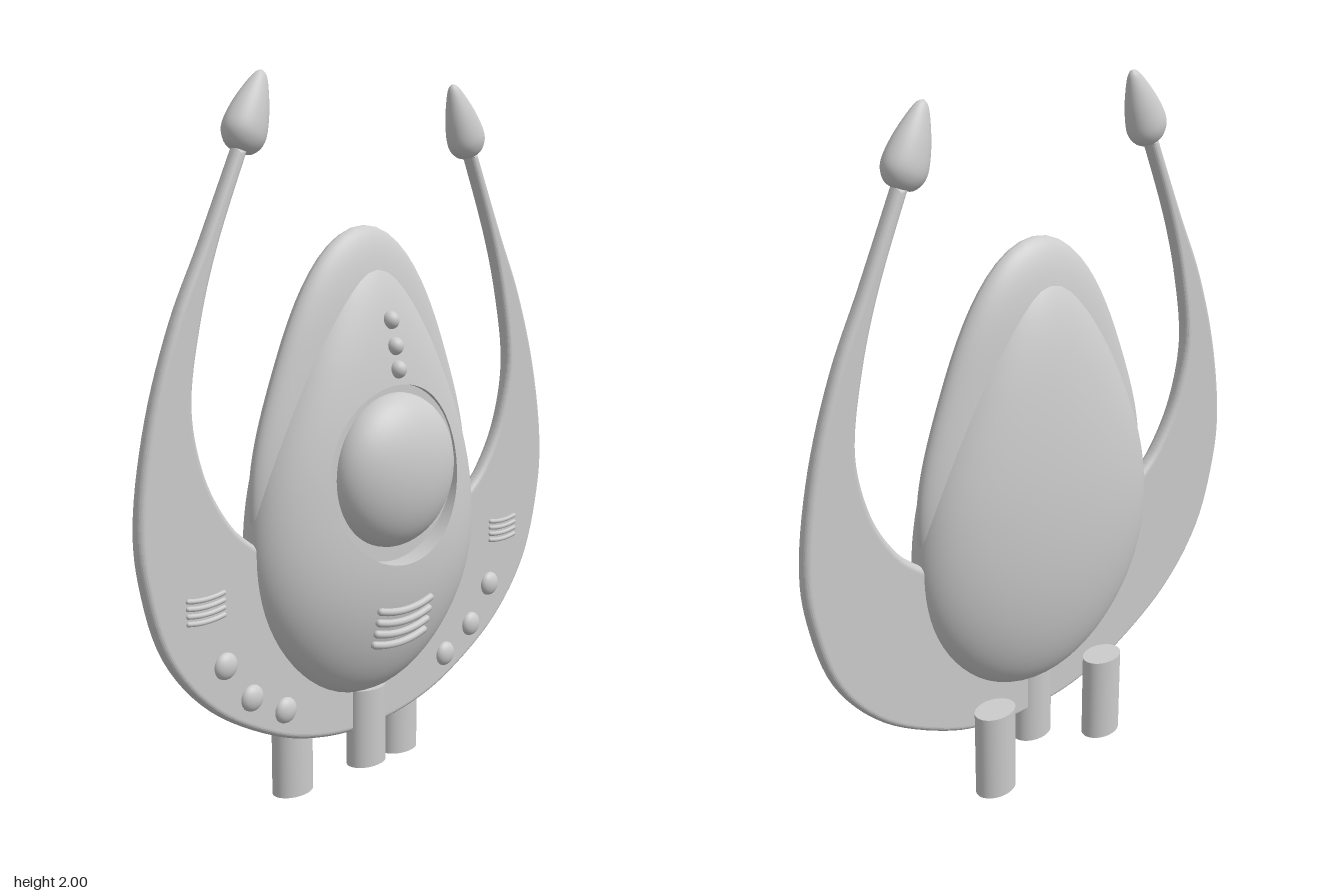
import * as THREE from 'three';

const MID = -0.022;                 // z of the plane the two halves meet on
const HUB = 0.93, SOCKET = 0.25, FLOOR = 0.095;
const SEG = 96;

const mat = new THREE.MeshStandardMaterial({ color: 0xcccccc });
const thinMat = new THREE.MeshStandardMaterial({ color: 0xcccccc, side: THREE.DoubleSide });

// Smooth function over 0..1 through evenly spaced values
const smooth = (values) => {
  const curve = new THREE.SplineCurve(values.map((v) => new THREE.Vector2(v, 0)));
  return (s) => curve.getPoint(s).x;
};

// Egg: round-ended profile multiplied by a slowly changing factor
function egg(y0, y1, width, front, back) {
  const fns = { width: smooth(width), front: smooth(front), back: smooth(back) };
  const at = (name, y) => {
    const s = (y - y0) / (y1 - y0);
    return s <= 0 || s >= 1 ? 0 : 2 * Math.sqrt(s * (1 - s)) * fns[name](s);
  };
  const z = (x, y, side = 'front') => {
    const w = at('width', y);
    const bulge = w > 0 ? at(side, y) * Math.sqrt(Math.max(0, 1 - (x / w) ** 2)) : 0;
    return MID + (side === 'front' ? bulge : -bulge);
  };
  // distance from the hub to the outline in a given direction
  const reach = (a) => {
    let lo = 0, hi = 1.2;
    for (let i = 0; i < 40; i++) {
      const m = (lo + hi) / 2;
      if (Math.abs(m * Math.cos(a)) < at('width', HUB + m * Math.sin(a))) lo = m; else hi = m;
    }
    return lo;
  };
  return { z, reach };
}

// Surface through closed rings of points, ordered from the middle outwards
function loft(rings, flip = false) {
  const n = rings[0].length, index = [];
  for (let j = 0; j < rings.length - 1; j++) {
    for (let i = 0; i < n; i++) {
      const a = j * n + i, b = j * n + (i + 1) % n, c = a + n, d = b + n;
      index.push(...(flip ? [a, d, c, a, b, d] : [a, c, d, a, d, b]));
    }
  }
  const g = new THREE.BufferGeometry();
  g.setAttribute('position', new THREE.Float32BufferAttribute(rings.flat(2), 3));
  g.setIndex(index);
  g.computeVertexNormals();
  return g;
}

const ring = (fn) => Array.from({ length: SEG }, (_, i) => fn((i / SEG) * Math.PI * 2));

// One half of an egg, optionally with a round opening at the hub
function halfEgg(e, side, r0) {
  const rings = [], steps = 32;
  for (let j = 0; j <= steps; j++) {
    const t = Math.sin((j / steps) * Math.PI / 2);
    rings.push(ring((a) => {
      const r = r0 + (e.reach(a) - r0) * t;
      const x = r * Math.cos(a), y = HUB + r * Math.sin(a);
      return [x, y, j === steps ? MID : e.z(x, y, side)];
    }));
  }
  return loft(rings, side === 'back');
}

export function createModel() {
  const model = new THREE.Group();
  const add = (name, geometry, x = 0, y = 0, z = 0, material = mat) => {
    const m = new THREE.Mesh(geometry, material);
    m.name = name;
    m.position.set(x, y, z);
    model.add(m);
    return m;
  };

  // Body shell and the slimmer hood that shows around its upper rim
  const shell = egg(0.27, 1.54, [0.468, 0.462, 0.408, 0.322, 0.24],
    [0.2, 0.196, 0.168, 0.152, 0.14], [0.2, 0.189, 0.177, 0.166, 0.165]);
  const hood = egg(0.27, 1.61, [0.42, 0.43, 0.418, 0.363, 0.338],
    [0.09, 0.09, 0.09, 0.088, 0.1], [0.1, 0.1, 0.1, 0.1, 0.12]);
  add('shellFront', halfEgg(shell, 'front', SOCKET));
  add('shellBack', halfEgg(shell, 'back', 0));
  add('hoodFront', halfEgg(hood, 'front', 0));
  add('hoodBack', halfEgg(hood, 'back', 0));

  // Round socket with a dome in it
  const rim = (depth) => ring((a) => {
    const x = SOCKET * Math.cos(a), y = HUB + SOCKET * Math.sin(a);
    return [x, y, depth ?? shell.z(x, y)];
  });
  add('socketWall', loft([rim(FLOOR), rim()]), 0, 0, 0, thinMat);
  add('socketFloor', new THREE.CircleGeometry(SOCKET, SEG), 0, HUB, FLOOR);
  add('dome', new THREE.SphereGeometry(1, 48, 32), 0, 0.94, FLOOR).scale.set(0.22, 0.217, 0.11);

  // Beads above the dome
  for (const y of [1.355, 1.285, 1.222]) {
    add('bead', new THREE.SphereGeometry(0.025, 20, 14), 0, y, shell.z(0, y));
  }

  // Curved bars, following the surface beneath
  const bar = (name, cx, cy, half, sag, radius, zAt) => {
    const pts = [];
    for (let i = -3; i <= 3; i++) {
      const u = i / 3, x = cx + u * half, y = cy + sag * u * u;
      pts.push(new THREE.Vector3(x, y, zAt(x, y)));
    }
    add(name, new THREE.TubeGeometry(new THREE.CatmullRomCurve3(pts), 20, radius, 8), 0, 0, 0, thinMat);
    for (const p of [pts[0], pts[6]]) add(name + 'End', new THREE.SphereGeometry(radius, 8, 6), p.x, p.y, p.z);
  };
  for (let i = 0; i < 4; i++) {
    bar('bodyVent', 0, 0.445 + i * 0.034, 0.1, 0.014, 0.011, (x, y) => shell.z(x, y) + 0.006);
  }

  // Crescent wing with rounded edges
  const outer = [[0, 0.155], [0.18, 0.172], [0.36, 0.23], [0.57, 0.357], [0.714, 0.53], [0.78, 0.74],
    [0.79, 0.92], [0.746, 1.157], [0.667, 1.385], [0.57, 1.58], [0.46, 1.81]];
  const inner = [[0.42, 1.81], [0.52, 1.58], [0.582, 1.385], [0.617, 1.18], [0.587, 1.01],
    [0.52, 0.88], [0.43, 0.79], [0.22, 0.66], [0, 0.62]];
  const mirrored = (pts) => pts.slice(0).reverse().map(([x, y]) => [-x, y]);
  const vecs = (pts) => pts.map(([x, y]) => new THREE.Vector2(x, y));
  const outerAll = [...mirrored(outer), ...outer.slice(1)];
  const innerAll = [...inner, ...mirrored(inner).slice(1)];
  const outline = [...new THREE.SplineCurve(vecs(outerAll)).getPoints(120),
    ...new THREE.SplineCurve(vecs(innerAll)).getPoints(120)];
  const wing = new THREE.ExtrudeGeometry(new THREE.Shape(outline), {
    depth: 0.006, bevelEnabled: true, bevelThickness: 0.019, bevelSize: 0.017,
    bevelOffset: -0.017, bevelSegments: 6,
  });
  add('wing', wing, 0, 0, MID - 0.003);

  // Pointed bulb profile, base to tip
  const bulbProfile = new THREE.SplineCurve(vecs([[0, 0], [0.036, 0.006], [0.058, 0.03], [0.064, 0.062],
    [0.054, 0.115], [0.036, 0.168], [0.017, 0.208], [0, 0.22]])).getPoints(32);
  bulbProfile.forEach((p) => { p.x = Math.max(0, p.x); });

  for (const s of [1, -1]) {
    // Bulb on the end of each arm
    const bulb = add('armBulb', new THREE.LatheGeometry(bulbProfile, 32), s * 0.445, 1.8, MID);
    bulb.rotation.z = s * 0.4;
    bulb.scale.z = 0.76;

    // Buttons and vents on each side of the wing
    for (const [x, y] of [[0.535, 0.48], [0.447, 0.368], [0.328, 0.3]]) {
      add('wingButton', new THREE.SphereGeometry(0.037, 24, 16), s * x, y, 0).scale.z = 0.6;
    }
    for (let i = 0; i < 4; i++) {
      bar('wingVent', s * 0.595, 0.615 + i * 0.02, 0.058, 0.006, 0.007, () => 0.001);
    }
  }

  // Three oval feet
  const leg = (name, x, bottom, top, z) => {
    add(name, new THREE.CylinderGeometry(0.066, 0.066, top - bottom, 40), x, (top + bottom) / 2, z).scale.z = 0.73;
  };
  leg('leftLeg', 0.22, 0, 0.27, -0.094);
  leg('rightLeg', -0.22, 0, 0.27, -0.094);
  leg('frontLeg', -0.004, 0.05, 0.285, -0.01);

  return model;
}
